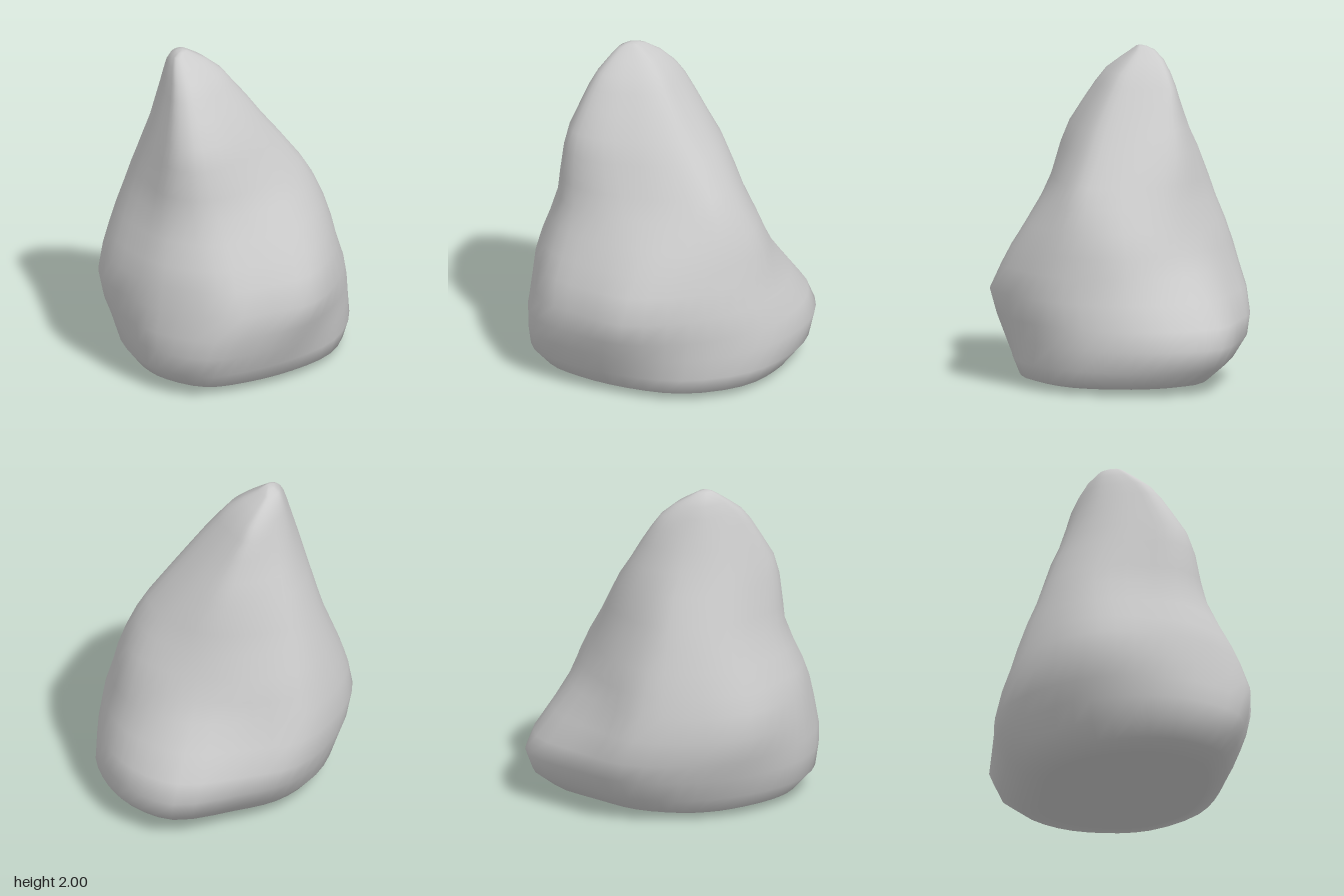
import * as THREE from 'three';

// Outlines seen from above, as [height, x/z pairs], running back, left side, front, right side
const OUTLINES = [
  [0.15, [0.17, -0.83, 0.46, -0.71, 0.655, -0.46, 0.75, -0.15, 0.66, 0.27, 0.41, 0.56, 0.11, 0.76,
    -0.15, 0.84, -0.41, 0.7, -0.55, 0.5, -0.64, 0.15, -0.6, -0.2, -0.45, -0.46, -0.2, -0.64]],
  [0.55, [0.1, -0.73, 0.4, -0.62, 0.6, -0.41, 0.71, -0.1, 0.69, 0.24, 0.54, 0.62, 0.3, 0.76,
    0, 0.87, -0.39, 0.72, -0.58, 0.53, -0.74, 0.25, -0.74, -0.05, -0.57, -0.46, -0.3, -0.6]],
  [0.85, [0.07, -0.54, 0.32, -0.5, 0.53, -0.36, 0.63, -0.09, 0.61, 0.2, 0.48, 0.47, 0.22, 0.66,
    -0.06, 0.76, -0.35, 0.67, -0.53, 0.48, -0.67, 0.21, -0.67, -0.07, -0.53, -0.38, -0.25, -0.51]],
  [1.2, [0.04, -0.43, 0.25, -0.34, 0.39, -0.21, 0.47, -0.04, 0.4, 0.16, 0.25, 0.36, 0.06, 0.54,
    -0.15, 0.62, -0.33, 0.56, -0.45, 0.39, -0.56, 0.13, -0.55, -0.09, -0.46, -0.27, -0.2, -0.4]],
  [1.77, [-0.17, -0.21, -0.1, -0.16, -0.02, -0.07, 0.05, 0.05, 0.03, 0.15, -0.04, 0.26, -0.13, 0.36,
    -0.22, 0.41, -0.3, 0.38, -0.34, 0.3, -0.38, 0.17, -0.39, 0.04, -0.34, -0.08, -0.25, -0.18]],
];

// Extents per height: y, xMin, xMax, zMin, zMax
const LEVELS = [
  [0.012, -0.46, 0.6, -0.55, 0.62],
  [0.05, -0.57, 0.72, -0.7, 0.75],
  [0.15, -0.645, 0.755, -0.83, 0.84],
  [0.28, -0.69, 0.745, -0.885, 0.875],
  [0.4, -0.735, 0.74, -0.84, 0.885],
  [0.55, -0.76, 0.725, -0.73, 0.87],
  [0.7, -0.735, 0.68, -0.62, 0.825],
  [0.82, -0.7, 0.65, -0.55, 0.775],
  [0.96, -0.655, 0.6, -0.5, 0.705],
  [1.1, -0.605, 0.54, -0.45, 0.645],
  [1.22, -0.565, 0.47, -0.42, 0.625],
  [1.4, -0.5, 0.335, -0.37, 0.6],
  [1.53, -0.455, 0.235, -0.31, 0.56],
  [1.66, -0.42, 0.14, -0.255, 0.48],
  [1.77, -0.39, 0.05, -0.205, 0.41],
  [1.85, -0.37, -0.015, -0.15, 0.345],
  [1.92, -0.35, -0.11, -0.075, 0.255],
  [1.97, -0.325, -0.195, 0.01, 0.185],
  [1.99, -0.29, -0.225, 0.06, 0.15],
];
const SIDES = 42;
const { clamp, lerp, mapLinear } = THREE.MathUtils;

// Blend the two outlines around a height and smooth the result into a closed loop
function outlineAt(y) {
  let k = 0;
  while (k < OUTLINES.length - 2 && y > OUTLINES[k + 1][0]) k++;
  const [y0, a] = OUTLINES[k], [y1, b] = OUTLINES[k + 1];
  const t = clamp((y - y0) / (y1 - y0), 0, 1);
  const points = [];
  for (let i = 0; i < a.length; i += 2) {
    points.push(new THREE.Vector3(lerp(a[i], b[i], t), 0, lerp(a[i + 1], b[i + 1], t)));
  }
  const curve = new THREE.CatmullRomCurve3(points, true, 'centripetal');
  return Array.from({ length: SIDES }, (_, i) => curve.getPoint(i / SIDES));
}

// Fit an outline to the extents of its level
function ring([y, xMin, xMax, zMin, zMax]) {
  const loop = outlineAt(y);
  const box = new THREE.Box3().setFromPoints(loop);
  return loop.map((p) => new THREE.Vector3(
    mapLinear(p.x, box.min.x, box.max.x, xMin, xMax), y,
    mapLinear(p.z, box.min.z, box.max.z, zMin, zMax)));
}

function rockGeometry() {
  const rings = LEVELS.map(ring);
  // The underside dips slightly toward the front right
  rings[0].forEach((p) => { p.y = Math.max(0, 0.012 + 0.012 * (p.x - p.z)); });
  const points = rings.flat();
  const index = [];
  for (let r = 0; r < rings.length - 1; r++) {
    for (let i = 0; i < SIDES; i++) {
      const a = r * SIDES + i, b = r * SIDES + (i + 1) % SIDES;
      index.push(a, a + SIDES, b, b, a + SIDES, b + SIDES);
    }
  }
  // Close the underside and the peak
  const bottom = points.push(new THREE.Vector3(0.05, 0.012, 0.03)) - 1;
  const peak = points.push(new THREE.Vector3(-0.255, 2, 0.115)) - 1;
  const last = (rings.length - 1) * SIDES;
  for (let i = 0; i < SIDES; i++) {
    const j = (i + 1) % SIDES;
    index.push(bottom, i, j, peak, last + j, last + i);
  }
  const geometry = new THREE.BufferGeometry().setFromPoints(points);
  geometry.setIndex(index);
  geometry.computeVertexNormals();
  return geometry;
}

export function createModel() {
  const group = new THREE.Group();
  group.name = 'rock';
  const body = new THREE.Mesh(rockGeometry(), new THREE.MeshStandardMaterial({ color: 0xcccccc }));
  body.name = 'boulder';
  group.add(body);
  return group;
}
